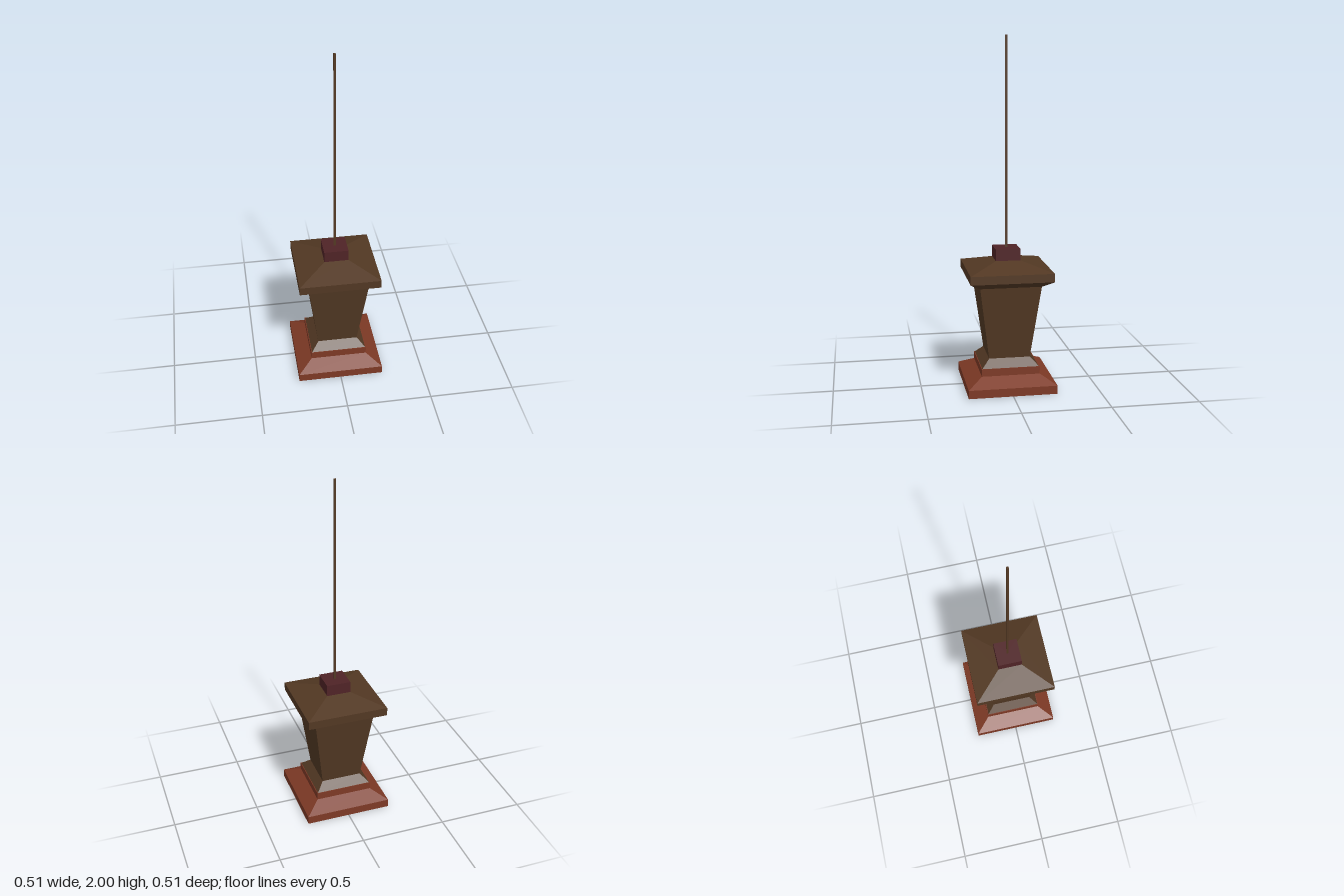
import * as THREE from 'three';

function flat(name, color) {
  const m = new THREE.MeshStandardMaterial({ color, flatShading: true });
  m.name = name;
  return m;
}

// Square frustum: half-widths at bottom and top, between heights y0 and y1
function frustum(name, material, h0, h1, y0, y1) {
  const g = new THREE.CylinderGeometry(h1 * Math.SQRT2, h0 * Math.SQRT2, y1 - y0, 4);
  g.rotateY(Math.PI / 4);
  g.translate(0, (y0 + y1) / 2, 0);
  const mesh = new THREE.Mesh(g, material);
  mesh.name = name;
  return mesh;
}

export function createModel() {
  const red = flat('red brown', 0x7d3925);
  const brown = flat('dark brown', 0x523823);
  const maroon = flat('maroon', 0x4f2326);

  const parts = [
    // Stepped base
    ['basePlinth', red, 0.253, 0.253, 0, 0.048],
    ['baseSlope', red, 0.253, 0.167, 0.048, 0.095],
    ['baseBlock', red, 0.167, 0.167, 0.095, 0.138],
    // Flared body
    ['neck', brown, 0.163, 0.118, 0.138, 0.183],
    ['body', brown, 0.118, 0.175, 0.183, 0.607],
    // Roof
    ['eaveUnderside', brown, 0.175, 0.236, 0.607, 0.645],
    ['roofRim', brown, 0.236, 0.236, 0.645, 0.693],
    ['roofSlope', brown, 0.236, 0.071, 0.693, 0.74],
    // Cap and rod
    ['cap', maroon, 0.071, 0.071, 0.74, 0.806],
    ['rod', brown, 0.006, 0.006, 0.806, 2],
  ];

  const group = new THREE.Group();
  group.name = 'hangingLantern';
  for (const p of parts) group.add(frustum(...p));
  return group;
}
